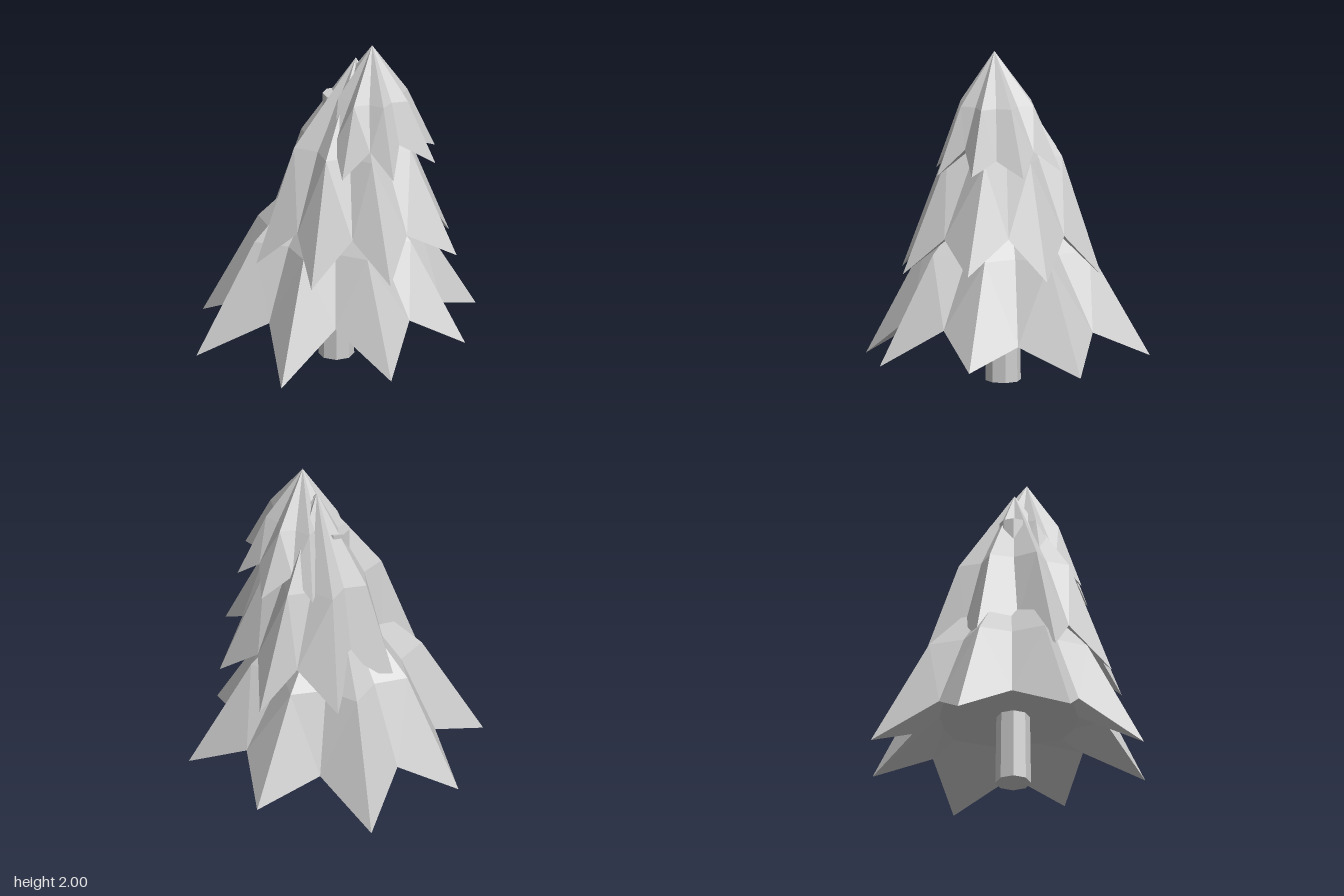
import * as THREE from 'three';

// Star-shaped tier: apex, shoulder ring, ragged hem of tips and valleys, hollow underside
function starTier({ apex, shoulder, hub, tips, valleys }, material, name) {
  const V = (a) => new THREE.Vector3(...a);
  const top = V(apex), sh = V(shoulder), base = V(hub);
  const hem = [], mid = [], under = [];
  const spread = (p, origin, k) =>
    new THREE.Vector3(origin.x + (p.x - base.x) * k, origin.y, origin.z + (p.z - base.z) * k);
  tips.forEach((t, i) => {
    const tip = V(t), valley = V(valleys[i]);
    const between = tip.clone().add(V(tips[(i + 1) % tips.length])).multiplyScalar(0.5);
    hem.push(tip, valley);
    mid.push(spread(tip, sh, 0.58), spread(between, sh, 0.48));
    under.push(spread(tip, base, 0.48), spread(valley, base, 0.72));
  });

  const pos = [];
  const tri = (a, b, c) => [a, b, c].forEach((p) => pos.push(p.x, p.y, p.z));
  const n = hem.length;
  for (let i = 0; i < n; i++) {
    const j = (i + 1) % n;
    tri(top, mid[j], mid[i]);
    // split each panel along the same diagonal on both sides of a ridge
    if (i % 2 === 0) {
      tri(mid[i], mid[j], hem[j]);
      tri(mid[i], hem[j], hem[i]);
    } else {
      tri(mid[i], mid[j], hem[i]);
      tri(mid[j], hem[j], hem[i]);
    }
    tri(hem[i], hem[j], under[i]);
    tri(hem[j], under[j], under[i]);
    tri(base, under[i], under[j]);
  }
  const geometry = new THREE.BufferGeometry();
  geometry.setAttribute('position', new THREE.Float32BufferAttribute(pos, 3));
  geometry.computeVertexNormals();
  const mesh = new THREE.Mesh(geometry, material);
  mesh.name = name;
  return mesh;
}

export function createModel() {
  const group = new THREE.Group();
  group.name = 'pineTree';
  const grey = new THREE.MeshStandardMaterial({ color: 0xcccccc, flatShading: true });
  grey.name = 'pale grey';

  // Upright tapered trunk whose top pokes through the leaning foliage
  const trunk = new THREE.Mesh(new THREE.CylinderGeometry(0.08, 0.104, 1.66, 8), grey);
  trunk.geometry.rotateY(Math.PI / 8);
  trunk.position.set(0.017, 0.83, 0.025);
  trunk.name = 'trunk';
  group.add(trunk);

  // Tips run from the left side (+x) towards the front (+z) and around;
  // each valley lies between its tip and the next
  const tiers = {
    lowerBranches: {
      apex: [0.02, 1.33, 0.01], shoulder: [0, 0.79, 0.01], hub: [0, 0.42, 0.01],
      tips: [
        [0.825, 0.2, 0.02], [0.605, 0.165, 0.615], [0.01, 0.115, 0.85], [-0.61, 0.13, 0.64],
        [-0.825, 0.13, 0.02], [-0.62, 0.11, -0.61], [0.01, 0.19, -0.855], [0.635, 0.165, -0.6],
      ],
      valleys: [
        [0.565, 0.39, 0.24], [0.215, 0.39, 0.52], [-0.2, 0.36, 0.525], [-0.53, 0.32, 0.24],
        [-0.55, 0.32, -0.21], [-0.21, 0.31, -0.515], [0.255, 0.36, -0.575], [0.58, 0.32, -0.21],
      ],
    },
    middleBranches: {
      apex: [0.125, 1.89, -0.01], shoulder: [0.125, 1.37, 0], hub: [0.17, 0.97, 0.01],
      tips: [
        [0.78, 0.76, 0.04], [0.55, 0.71, 0.49], [0.1, 0.66, 0.61], [-0.32, 0.68, 0.43],
        [-0.43, 0.76, -0.03], [-0.28, 0.72, -0.43], [0.15, 0.68, -0.6], [0.56, 0.71, -0.38],
      ],
      valleys: [
        [0.55, 0.93, 0.24], [0.28, 0.925, 0.42], [-0.07, 0.905, 0.41], [-0.22, 0.93, 0.15],
        [-0.22, 0.95, -0.18], [0, 0.93, -0.43], [0.28, 0.93, -0.41], [0.55, 0.95, -0.145],
      ],
    },
    upperBranches: {
      apex: [0.24, 2, 0.02], shoulder: [0.24, 1.69, 0.01], hub: [0.25, 1.46, 0],
      tips: [
        [0.65, 1.33, 0.05], [0.49, 1.29, 0.3], [0.2, 1.28, 0.38], [-0.03, 1.3, 0.23],
        [-0.14, 1.33, -0.03], [-0.02, 1.33, -0.29], [0.27, 1.31, -0.39], [0.53, 1.31, -0.23],
      ],
      valleys: [
        [0.46, 1.45, 0.14], [0.33, 1.435, 0.27], [0.1, 1.44, 0.26], [0, 1.44, 0.1],
        [0, 1.45, -0.14], [0.13, 1.45, -0.27], [0.37, 1.44, -0.25], [0.5, 1.4, -0.06],
      ],
    },
  };
  for (const [name, tier] of Object.entries(tiers)) group.add(starTier(tier, grey, name));
  return group;
}
